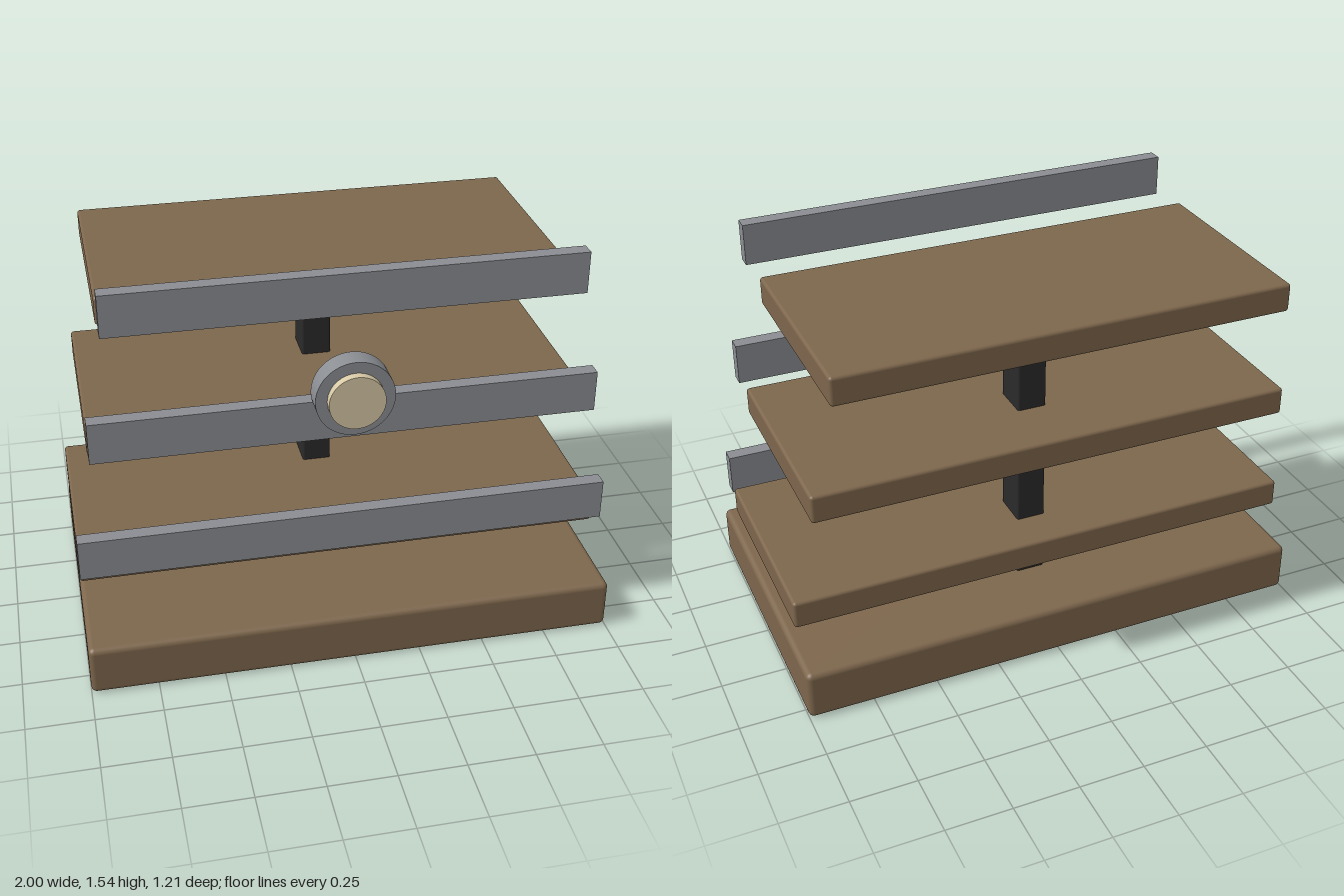
import * as THREE from 'three';
import { RoundedBoxGeometry } from 'three/addons/geometries/RoundedBoxGeometry.js';

const material = (name, color) => {
  const m = new THREE.MeshStandardMaterial({ color });
  m.name = name;
  return m;
};

export function createModel() {
  const group = new THREE.Group();
  const wood = material('brown wood', 0x7d664c);
  const metal = material('grey metal', 0x8a8d92);
  const dark = material('dark post', 0x2a2a2b);
  const cream = material('cream', 0xd8c9a6);

  const add = (name, geometry, mat, x, y, z) => {
    const mesh = new THREE.Mesh(geometry, mat);
    mesh.name = name;
    mesh.position.set(x, y, z);
    group.add(mesh);
    return mesh;
  };

  // Box given by its width and its y and z ranges, with optional edge rounding
  const block = (name, mat, width, [y0, y1], [z0, z1], radius = 0) => {
    const size = [width, y1 - y0, z1 - z0];
    const geometry = radius
      ? new RoundedBoxGeometry(...size, 3, radius)
      : new THREE.BoxGeometry(...size);
    return add(name, geometry, mat, 0, (y0 + y1) / 2, (z0 + z1) / 2);
  };

  // Base slab and rear post
  block('base', wood, 2, [0, 0.195], [-0.556, 0.608], 0.022);
  block('post', dark, 0.112, [0.195, 1.32], [-0.279, -0.133], 0.008);

  // Three shelves stepping back and narrowing, each with a front rail
  for (let i = 0; i < 3; i++) {
    const width = 2 - i * 0.14;
    const y = 0.335 + i * 0.486;
    const z = 0.368 - i * 0.08;
    block('shelf', wood, width, [y, y + 0.109], [z - 0.813, z], 0.012);
    block('rail', metal, width, [y + 0.073, y + 0.231], [0.396, 0.453]);
  }

  // Round dial facing the front
  const disc = (name, mat, radius, z0, z1) => {
    const geometry = new THREE.CylinderGeometry(radius, radius, z1 - z0, 48);
    geometry.rotateX(Math.PI / 2);
    add(name, geometry, mat, 0, 1.102, (z0 + z1) / 2);
  };
  disc('dialRim', metal, 0.144, 0.466, 0.548);
  disc('dialFace', cream, 0.102, 0.54, 0.58);

  return group;
}
